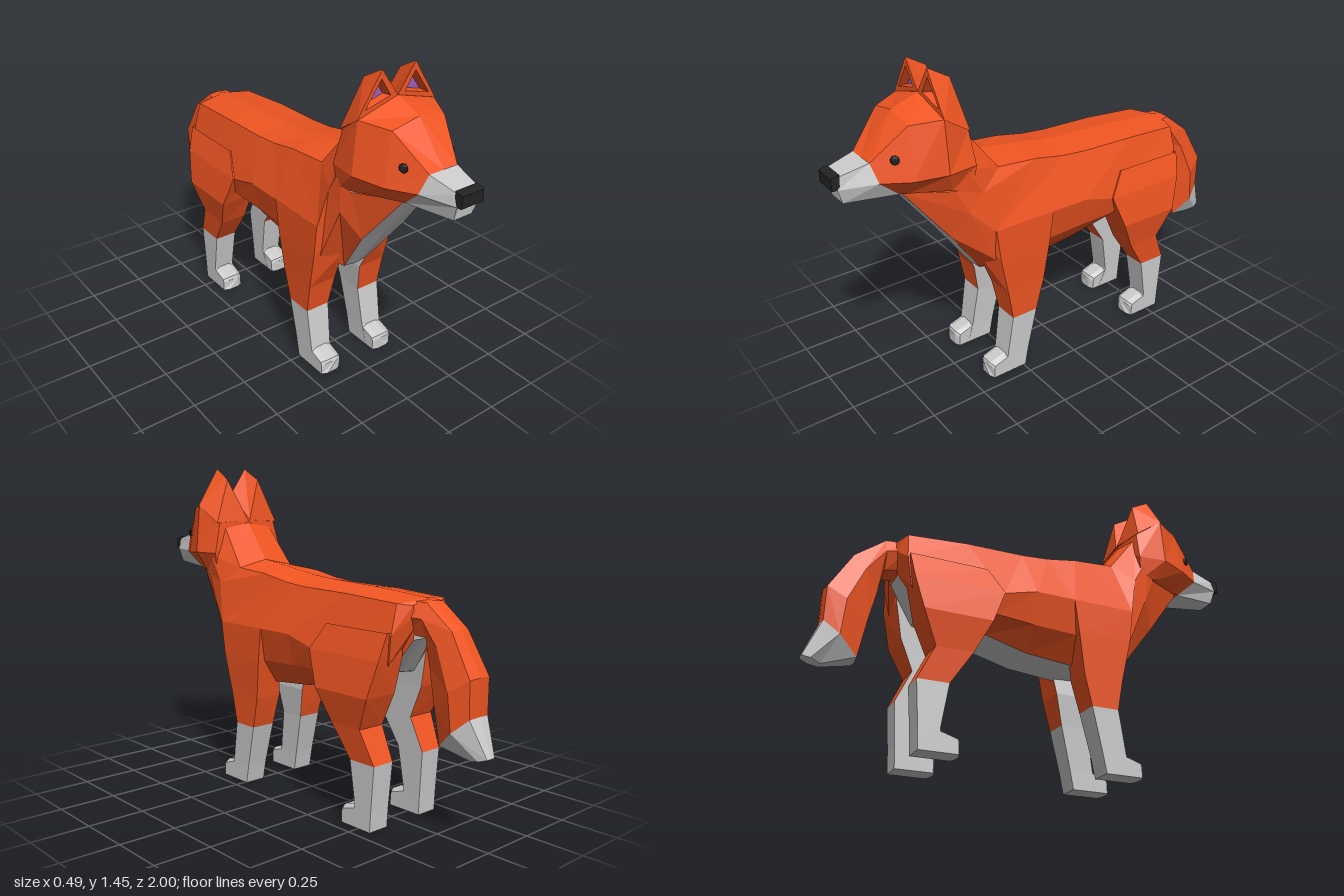
import * as THREE from 'three';

const material = (color) => new THREE.MeshStandardMaterial({ color, flatShading: true, side: THREE.DoubleSide });
const fur = material(0xf05522);
const pale = material(0xcccccc);
const dark = material(0x222222);
const violet = material(0xa05fb8);

// Skin a list of cross-sections with flat facets
function skin(rings, { closed = true, capStart = false, capEnd = false } = {}) {
  const out = [];
  const tri = (a, b, c) => out.push(...a, ...b, ...c);
  for (let i = 0; i < rings.length - 1; i++) {
    const r = rings[i], s = rings[i + 1], n = r.length;
    for (let j = 0; j < (closed ? n : n - 1); j++) {
      const k = (j + 1) % n;
      tri(r[j], r[k], s[j]);
      tri(r[k], s[k], s[j]);
    }
  }
  const cap = (r, flip) => {
    for (let j = 1; j < r.length - 1; j++) flip ? tri(r[0], r[j + 1], r[j]) : tri(r[0], r[j], r[j + 1]);
  };
  if (capStart) cap(rings[0], true);
  if (capEnd) cap(rings[rings.length - 1], false);
  const g = new THREE.BufferGeometry();
  g.setAttribute('position', new THREE.Float32BufferAttribute(out, 3));
  g.computeVertexNormals();
  return g;
}

function add(parent, name, geometry, mat) {
  const mesh = new THREE.Mesh(geometry, mat);
  mesh.name = name;
  parent.add(mesh);
  return mesh;
}

const flip = ([x, y, z]) => [-x, y, z];
// Half section (top centre to bottom centre) to full closed ring
const fullRing = (half) => [...half, ...half.slice(half[half.length - 1][0] === 0 ? 1 : 0).slice(0, -1).reverse().map(flip)]
  .filter((p, i, all) => i === 0 || !(p[0] === 0 && p[1] === all[0][1] && p[2] === all[0][2]));
const symmetricRing = (half) => [...half, ...half.slice(1, -1).reverse().map(flip)];

function addTorso(root) {
  // Half sections: spine, back edge, flank, lower flank, belly edge, belly centre
  const halves = [
    [[0, 1.21, 0.47], [0.13, 1.18, 0.47], [0.19, 1.05, 0.5], [0.17, 0.96, 0.54], [0.07, 0.97, 0.73], [0, 0.97, 0.74]],
    [[0, 1.03, 0.33], [0.15, 1.0, 0.33], [0.19, 0.93, 0.43], [0.18, 0.85, 0.49], [0.11, 0.73, 0.545], [0, 0.73, 0.555]],
    [[0, 1.005, 0.14], [0.15, 0.985, 0.14], [0.215, 0.75, 0.39], [0.19, 0.6, 0.38], [0.06, 0.5, 0.38], [0, 0.5, 0.39]],
    [[0, 0.985, 0], [0.15, 0.96, 0], [0.215, 0.75, 0.1], [0.18, 0.6, 0.12], [0.1, 0.49, 0.13], [0, 0.485, 0.13]],
    [[0, 0.975, -0.12], [0.15, 0.95, -0.12], [0.215, 0.75, -0.08], [0.18, 0.61, -0.08], [0.1, 0.51, -0.08], [0, 0.49, -0.08]],
    [[0, 0.965, -0.38], [0.15, 0.945, -0.38], [0.215, 0.71, -0.23], [0.19, 0.62, -0.26], [0.1, 0.56, -0.27], [0, 0.54, -0.27]],
    [[0, 0.945, -0.66], [0.14, 0.93, -0.64], [0.175, 0.81, -0.645], [0.16, 0.69, -0.62], [0.08, 0.62, -0.54], [0, 0.63, -0.54]],
    [[0, 0.94, -0.68], [0.08, 0.92, -0.67], [0.07, 0.88, -0.67], [0.06, 0.83, -0.66], [0.05, 0.78, -0.65], [0, 0.78, -0.65]],
  ];
  const coat = halves.map((h) => [...h.slice(1, 5).reverse().map(flip), ...h.slice(0, 5)]);
  const under = halves.map((h) => [h[4], h[5], flip(h[4])]);
  add(root, 'torso', skin(coat, { closed: false }), fur);
  add(root, 'chestAndBelly', skin(under, { closed: false }), pale);
}

function addHead(root) {
  const head = new THREE.Group();
  head.name = 'head';
  root.add(head);
  // Half sections: crown, crown edge, cheek, jaw edge, jaw centre
  const muzzleBase = [[0, 1.13, 0.85], [0.07, 1.13, 0.85], [0.1, 1.05, 0.83], [0.075, 0.97, 0.74], [0, 0.97, 0.74]];
  const skull = [
    muzzleBase,
    [[0, 1.29, 0.71], [0.13, 1.265, 0.71], [0.165, 1.05, 0.72], [0.09, 0.97, 0.71], [0, 0.965, 0.71]],
    [[0, 1.335, 0.59], [0.19, 1.28, 0.59], [0.212, 1.06, 0.59], [0.17, 0.97, 0.56], [0, 0.93, 0.6]],
    [[0, 1.21, 0.46], [0.16, 1.2, 0.47], [0.195, 1.06, 0.46], [0.18, 0.95, 0.47], [0, 0.95, 0.5]],
  ];
  add(head, 'skull', skin(skull.map(symmetricRing), { capEnd: true }), fur);
  const muzzle = [
    [[0, 1.1, 0.975], [0.052, 1.1, 0.975], [0.057, 1.05, 0.98], [0.045, 0.985, 0.96], [0, 0.985, 0.96]],
    muzzleBase,
  ];
  add(head, 'muzzle', skin(muzzle.map(symmetricRing), { capStart: true }), pale);
  const nose = [
    [[0, 1.1, 1], [0.053, 1.1, 1], [0.055, 1.05, 1], [0, 1.05, 1]],
    [[0, 1.11, 0.965], [0.055, 1.11, 0.965], [0.058, 1.05, 0.97], [0, 1.05, 0.97]],
  ];
  add(head, 'nose', skin(nose.map(symmetricRing), { capStart: true, capEnd: true }), dark);

  for (const side of [1, -1]) {
    const half = new THREE.Group();
    half.name = side > 0 ? 'leftFace' : 'rightFace';
    half.scale.x = side;
    head.add(half);
    // Ear: back, front rim, opening, hollow
    const opening = [[0.083, 1.415, 0.592], [0.157, 1.31, 0.592], [0.036, 1.342, 0.592]];
    const hollow = opening.map(([x, y]) => [0.085 + (x - 0.085) * 0.75, 1.345 + (y - 1.345) * 0.75, 0.56]);
    const ear = [
      hollow, opening,
      [[0.082, 1.452, 0.592], [0.193, 1.28, 0.592], [0, 1.335, 0.592]],
      [[0.09, 1.4, 0.5], [0.175, 1.2, 0.47], [0.005, 1.21, 0.455]],
    ];
    add(half, 'ear', skin(ear, { capEnd: true }), fur);
    add(half, 'innerEar', skin([hollow, opening], { capStart: true }), violet);
    const eye = add(half, 'eye', new THREE.SphereGeometry(0.02, 10, 6), dark);
    eye.scale.set(0.9, 1, 0.35);
    eye.position.set(0.123, 1.14, 0.771);
    eye.rotation.y = 1.07;
  }
}

// Leg rows: [y, outerX, outerBackZ, outerFrontZ, innerX, innerBackZ, innerFrontZ]
function addLeg(parent, name, thighRows, shinRows, toeZ) {
  const leg = new THREE.Group();
  leg.name = name;
  parent.add(leg);
  const ring = ([y, xo, bo, fo, xi, bi = bo, fi = fo]) =>
    [[xi, y, bi], [xo, y, bo], [xo, y, fo], [xi, y, fi]];
  const upper = thighRows.map(ring);
  add(leg, name + 'Upper', skin(upper, { closed: false }), fur);
  add(leg, name + 'Inside', skin(upper.map((r) => [r[3], r[0]]), { closed: false }), pale);
  add(leg, name + 'Shin', skin(shinRows.map(ring), { capEnd: true }), pale);
  // Paw with bevelled top corners, toe to ankle
  const paw = [[toeZ, 0.055, 0.045], [toeZ - 0.005, 0.07, 0.06], [toeZ - 0.08, 0.09, 0.08], [toeZ - 0.15, 0.09, 0.08]]
    .map(([z, top, edge], i) => [[0.12, top, z], [0.17, top, z], [0.197, edge, z - (i < 2 ? 0.012 : 0)],
      [0.197, 0, z - (i < 2 ? 0.012 : 0)], [0.17, 0, z], [0.12, 0, z],
      [0.097, 0, z - (i < 2 ? 0.012 : 0)], [0.097, edge, z - (i < 2 ? 0.012 : 0)]]);
  add(leg, name + 'Paw', skin(paw, { capStart: true, capEnd: true }), pale);
}

function addLegs(root) {
  for (const side of [1, -1]) {
    const half = new THREE.Group();
    half.name = side > 0 ? 'leftLegs' : 'rightLegs';
    half.scale.x = side;
    root.add(half);
    addLeg(half, 'frontLeg', [
      [0.75, 0.217, 0.1, 0.39, 0.1, 0.12, 0.45],
      [0.6, 0.215, 0.12, 0.37, 0.09, 0.12, 0.41],
      [0.42, 0.205, 0.145, 0.33, 0.07, 0.15, 0.33],
      [0.28, 0.2, 0.18, 0.305, 0.085],
    ], [[0.28, 0.2, 0.18, 0.305, 0.085], [0.09, 0.197, 0.223, 0.335, 0.095], [0, 0.197, 0.24, 0.36, 0.097]], 0.42);
    addLeg(half, 'hindLeg', [
      [0.82, 0.19, -0.64, -0.3, 0.08, -0.62, -0.3],
      [0.71, 0.222, -0.625, -0.23, 0.07, -0.61, -0.25],
      [0.56, 0.245, -0.585, -0.29, 0.08, -0.58, -0.3],
      [0.42, 0.215, -0.52, -0.36, 0.085],
      [0.28, 0.197, -0.585, -0.45, 0.09],
    ], [[0.28, 0.197, -0.585, -0.45, 0.09], [0.09, 0.197, -0.57, -0.48, 0.095], [0, 0.197, -0.565, -0.44, 0.097]], -0.39);
  }
}

function addTail(root) {
  // Each row: outer y, z, inner y, z, half width
  const ring = ([yo, zo, yi, zi, w]) => {
    const at = (x, t) => [x * w, yo + (yi - yo) * t, zo + (zi - zo) * t];
    return symmetricRing([at(0, 0), at(0.65, 0.03), at(1, 0.45), at(0.6, 0.97), at(0, 1)]);
  };
  const rows = [
    [0.94, -0.62, 0.8, -0.62, 0.1], [0.937, -0.71, 0.79, -0.705, 0.075], [0.84, -0.84, 0.68, -0.725, 0.075],
    [0.67, -0.94, 0.54, -0.755, 0.09], [0.52, -0.94, 0.38, -0.785, 0.085],
  ];
  add(root, 'tail', skin(rows.map(ring)), fur);
  const tip = [rows[4], [0.37, -1, 0.345, -0.92, 0.035]].map(ring);
  add(root, 'tailTip', skin(tip, { capEnd: true }), pale);
}

export function createModel() {
  const root = new THREE.Group();
  root.name = 'fox';
  addTorso(root);
  addHead(root);
  addLegs(root);
  addTail(root);
  return root;
}
